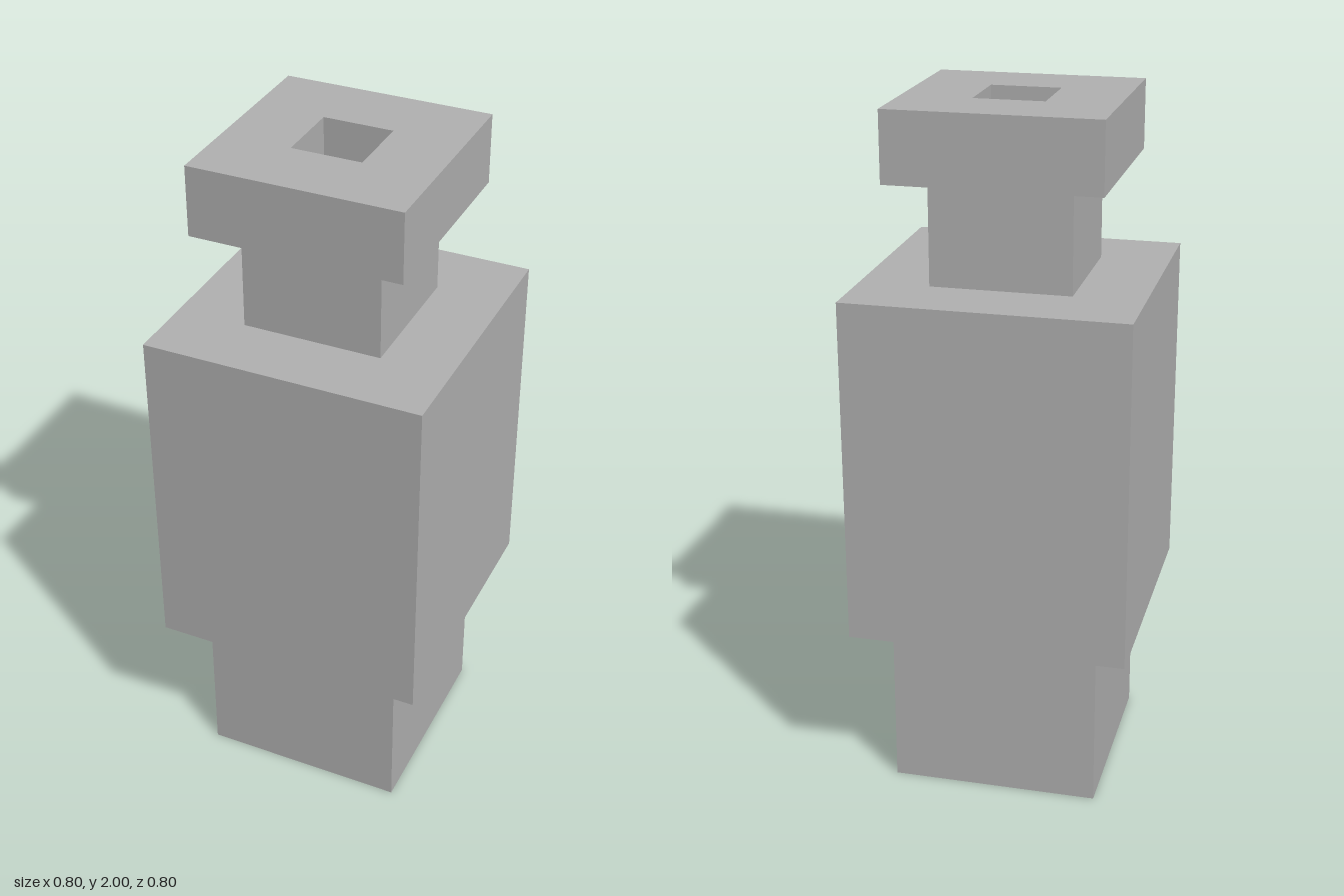
import * as THREE from 'three';

export function createModel() {
  const group = new THREE.Group();
  const grey = new THREE.MeshStandardMaterial({ color: 0xb2b2b2 });
  grey.name = 'grey';

  const add = (name, geometry, y) => {
    const mesh = new THREE.Mesh(geometry, grey);
    mesh.name = name;
    mesh.position.y = y;
    group.add(mesh);
  };

  // Square stacked blocks: name, width, bottom, top
  const blocks = [
    ['base', 0.6, 0, 0.5],
    ['body', 0.8, 0.5, 1.5],
    ['neck', 0.4, 1.5, 1.8],
  ];
  for (const [name, width, bottom, top] of blocks) {
    add(name, new THREE.BoxGeometry(width, top - bottom, width), (bottom + top) / 2);
  }

  // Cap with a square opening down to the neck
  const square = (path, h) =>
    path.moveTo(-h, -h).lineTo(h, -h).lineTo(h, h).lineTo(-h, h).closePath();
  const outline = square(new THREE.Shape(), 0.3);
  outline.holes.push(square(new THREE.Path(), 0.1));
  const cap = new THREE.ExtrudeGeometry(outline, { depth: 0.2, bevelEnabled: false });
  cap.rotateX(-Math.PI / 2);
  add('cap', cap, 1.8);

  return group;
}
